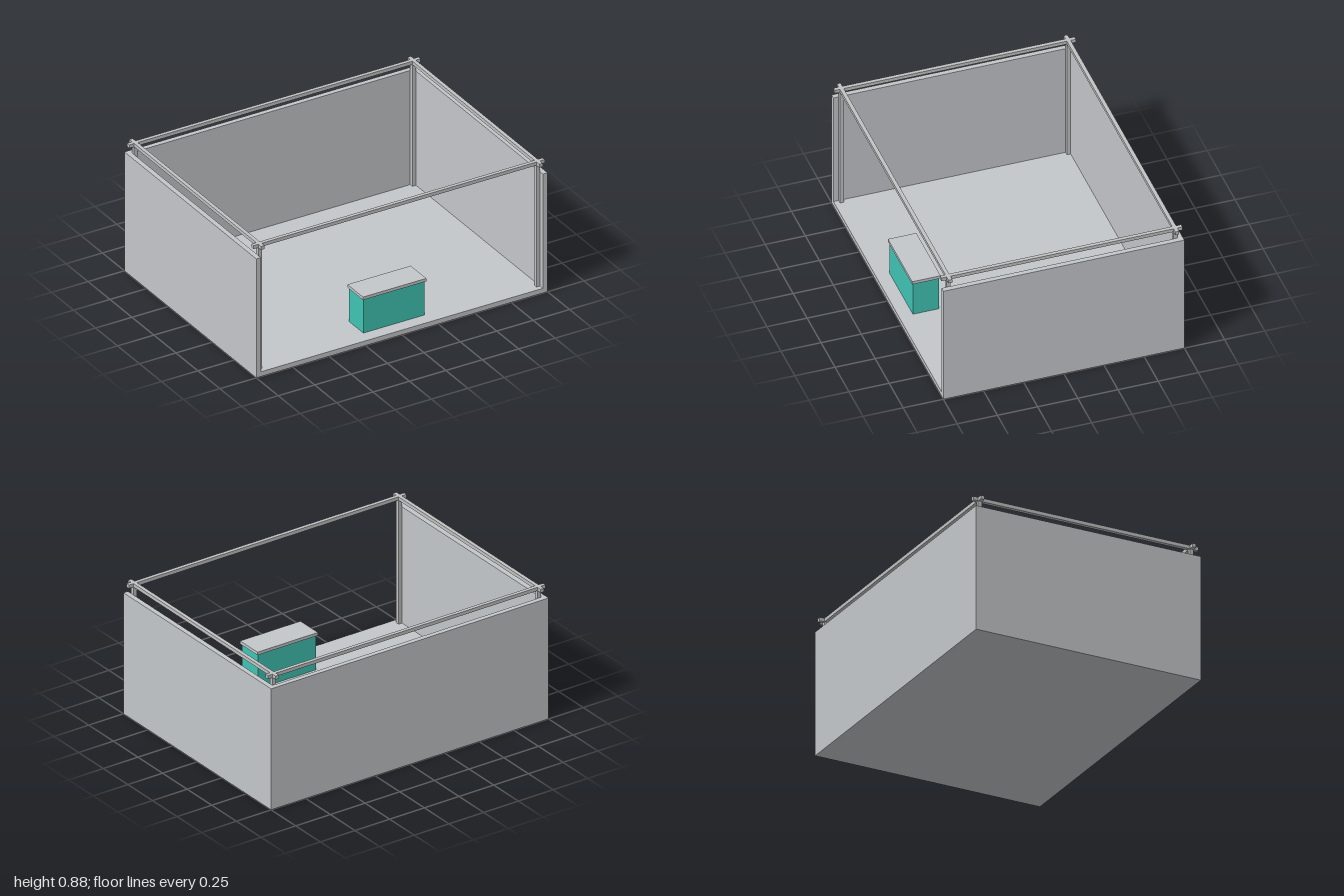
import * as THREE from 'three';

export function createModel() {
  const model = new THREE.Group();
  model.name = 'exhibitionBooth';

  const material = (name, color) => {
    const m = new THREE.MeshStandardMaterial({ color });
    m.name = name;
    return m;
  };
  const panelGrey = material('panelGrey', 0xc4c7ca);
  const metalGrey = material('metalGrey', 0xc2c3c4);
  const teal = material('teal', 0x40c4b4);

  // Box given by its minimum and maximum corners
  const box = (name, mat, [x0, y0, z0], [x1, y1, z1], parent = model) => {
    const mesh = new THREE.Mesh(new THREE.BoxGeometry(x1 - x0, y1 - y0, z1 - z0), mat);
    mesh.position.set((x0 + x1) / 2, (y0 + y1) / 2, (z0 + z1) / 2);
    mesh.name = name;
    parent.add(mesh);
    return mesh;
  };

  const W = 1, D = 0.75, H = 0.802, T = 0.032; // half width, half depth, wall height, thickness

  // Floor and side walls as one U-shaped section
  const section = new THREE.Shape([
    [-W, 0], [W, 0], [W, H], [W - T, H], [W - T, T], [-W + T, T], [-W + T, H], [-W, H],
  ].map(([x, y]) => new THREE.Vector2(x, y)));
  const shell = new THREE.Mesh(
    new THREE.ExtrudeGeometry(section, { depth: 2 * D, bevelEnabled: false }), panelGrey);
  shell.position.z = -D;
  shell.name = 'floorAndSideWalls';
  model.add(shell);

  box('backWall', panelGrey, [-W + T, T, -D], [W - T, H, -D + T]);

  // Corner posts and the crossing top rails
  const frame = new THREE.Group();
  frame.name = 'frame';
  model.add(frame);
  const px = 0.955, pz = 0.706, r = 0.012, railBottom = 0.853, railTop = 0.876;
  for (const s of [-1, 1]) {
    for (const t of [-1, 1]) {
      box('post', metalGrey, [s * px - r, T, t * pz - r], [s * px + r, railBottom, t * pz + r], frame);
    }
    box('crossRail', metalGrey, [-W, railBottom, s * pz - r], [W, railTop, s * pz + r], frame);
    box('sideRail', metalGrey, [s * px - r, railBottom, -D], [s * px + r, railTop, D], frame);
  }

  // Reception counter near the open front
  const counter = new THREE.Group();
  counter.name = 'counter';
  model.add(counter);
  box('counterBody', teal, [-0.213, T, 0.501], [0.208, 0.26, 0.664], counter);
  box('counterTop', panelGrey, [-0.22, 0.26, 0.494], [0.215, 0.28, 0.671], counter);

  return model;
}
